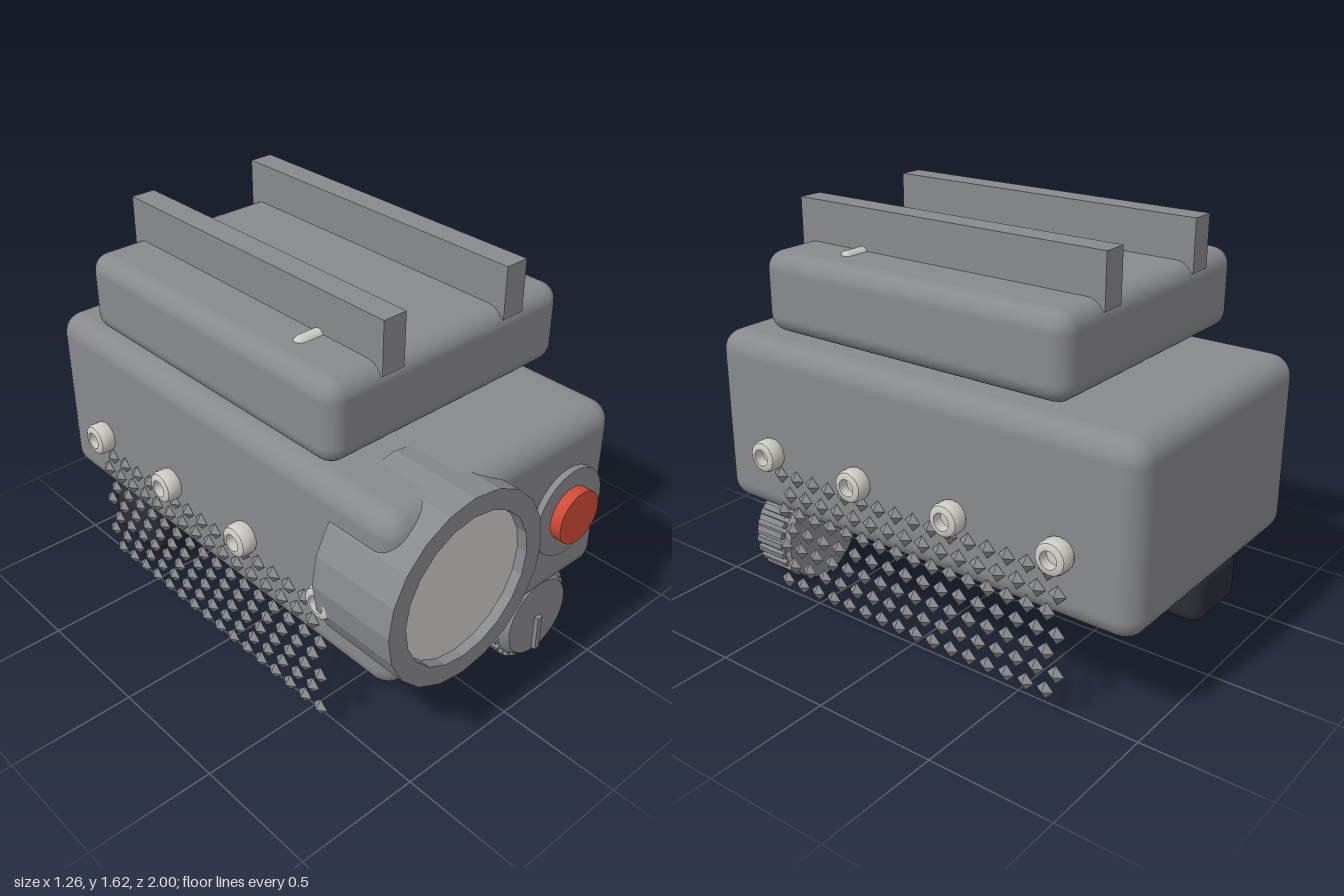
import * as THREE from 'three';
import { toCreasedNormals } from 'three/addons/utils/BufferGeometryUtils.js';
import { RoundedBoxGeometry } from 'three/addons/geometries/RoundedBoxGeometry.js';

const material = (name, color) => {
  const m = new THREE.MeshStandardMaterial({ color });
  m.name = name;
  return m;
};

export function createModel() {
  const model = new THREE.Group();
  model.name = 'weaponSight';
  const grey = material('metalGrey', 0x88898d);
  const light = material('paleMetal', 0xcdcbc5);
  const red = material('buttonRed', 0xd04a38);
  const black = material('rubberBlack', 0x2c2c36);

  const add = (name, geometry, mat, x = 0, y = 0, z = 0, parent = model) => {
    const mesh = new THREE.Mesh(geometry, mat);
    mesh.name = name;
    mesh.position.set(x, y, z);
    parent.add(mesh);
    return mesh;
  };

  // Turned part whose axis points along +z; profile is [radius, z] pairs
  const turned = (profile, sides, crease = 0.5) => {
    const g = new THREE.LatheGeometry(profile.map(([r, h]) => new THREE.Vector2(r, h)), sides);
    g.rotateX(Math.PI / 2);
    return toCreasedNormals(g, crease);
  };

  // Rounded housings
  add('mainBody', new RoundedBoxGeometry(1.12, 0.715, 1.93, 4, 0.085), grey, 0.003, 0.743, -0.035);
  add('mountBlock', new RoundedBoxGeometry(1.12, 0.31, 1.35, 4, 0.07), grey, 0.003, 1.305, -0.035);
  add('rubberFoot', new RoundedBoxGeometry(0.315, 0.22, 0.31, 3, 0.05), black, -0.312, 0.18, -0.71);

  // Rails and their cross pins
  for (const s of [-1, 1]) {
    add('rail', new THREE.BoxGeometry(0.098, 0.2, 1.35), grey, 0.003 + s * 0.288, 1.52, -0.035);
    const pin = new THREE.CapsuleGeometry(0.028, 0.1, 4, 12);
    pin.rotateZ(Math.PI / 2);
    add('railPin', pin, light, 0.003 + s * 0.364, 1.448, 0.337);
  }

  // Lens hood with a recessed lens
  add('lensHood', turned([[0, 0.64], [0.37, 0.64], [0.37, 1], [0.293, 1], [0.293, 0.95], [0, 0.95]], 20, 0.25),
    grey, -0.265, 0.742, 0);
  add('lens', turned([[0.292, 0.95], [0.292, 0.96], [0, 0.96]], 20, 0.25), light, -0.265, 0.742, 0);

  // Push button
  add('buttonBezel', turned([[0.178, 0.9], [0.178, 0.955], [0, 0.955]], 32), grey, 0.317, 0.744, 0);
  add('button', turned([[0.107, 0.95], [0.107, 1], [0, 1]], 24), red, 0.317, 0.744, 0);

  // Ribbed dial
  const dial = new THREE.Group();
  dial.name = 'dial';
  dial.position.set(0.317, 0.198, 0);
  model.add(dial);
  add('dialBody', turned([[0, 0.645], [0.19, 0.645], [0.19, 0.68], [0.18, 0.685],
    [0.18, 0.84], [0.162, 0.87], [0, 0.87]], 40, 0.35), grey, 0, 0, 0, dial);
  const ribGeometry = new THREE.BoxGeometry(0.03, 0.024, 0.14);
  const ribCount = 26;
  for (let i = 0; i < ribCount; i++) {
    const a = (i / ribCount) * Math.PI * 2;
    const rib = add('dialRib', ribGeometry, grey, Math.cos(a) * 0.183, Math.sin(a) * 0.183, 0.763, dial);
    rib.rotation.z = a;
  }
  add('dialPointer', new THREE.BoxGeometry(0.025, 0.155, 0.03), grey, 0, -0.075, 0.873, dial);

  // Hollow side screws
  const screwGeometry = turned([[0.055, 0], [0.064, 0.018], [0.064, 0.055], [0.058, 0.068],
    [0.045, 0.075], [0.034, 0.075], [0.034, 0.035], [0, 0.035]], 18, 0.6);
  for (const s of [-1, 1]) {
    for (let i = 0; i < 4; i++) {
      const screw = add('sideScrew', screwGeometry, light, 0.003 + s * 0.551, 0.652, 0.642 - i * 0.4495);
      screw.rotation.y = s * Math.PI / 2;
    }
  }

  // Grip studs: staggered rows of small pyramids on both sides
  const studGeometry = toCreasedNormals(new THREE.ConeGeometry(0.036, 0.025, 4), 0.1);
  for (const s of [-1, 1]) {
    const grip = new THREE.Group();
    grip.name = s > 0 ? 'leftGrip' : 'rightGrip';
    model.add(grip);
    for (let row = 0; row < 7; row++) {
      for (let col = 0; col < 16; col++) {
        const z = 0.6 - (row % 2) * 0.042 - col * 0.0842;
        const stud = add('gripStud', studGeometry, grey, 0.003 + s * 0.577, 0.572 - row * 0.0775, z, grip);
        stud.rotation.z = -s * Math.PI / 2;
      }
    }
  }
  return model;
}
